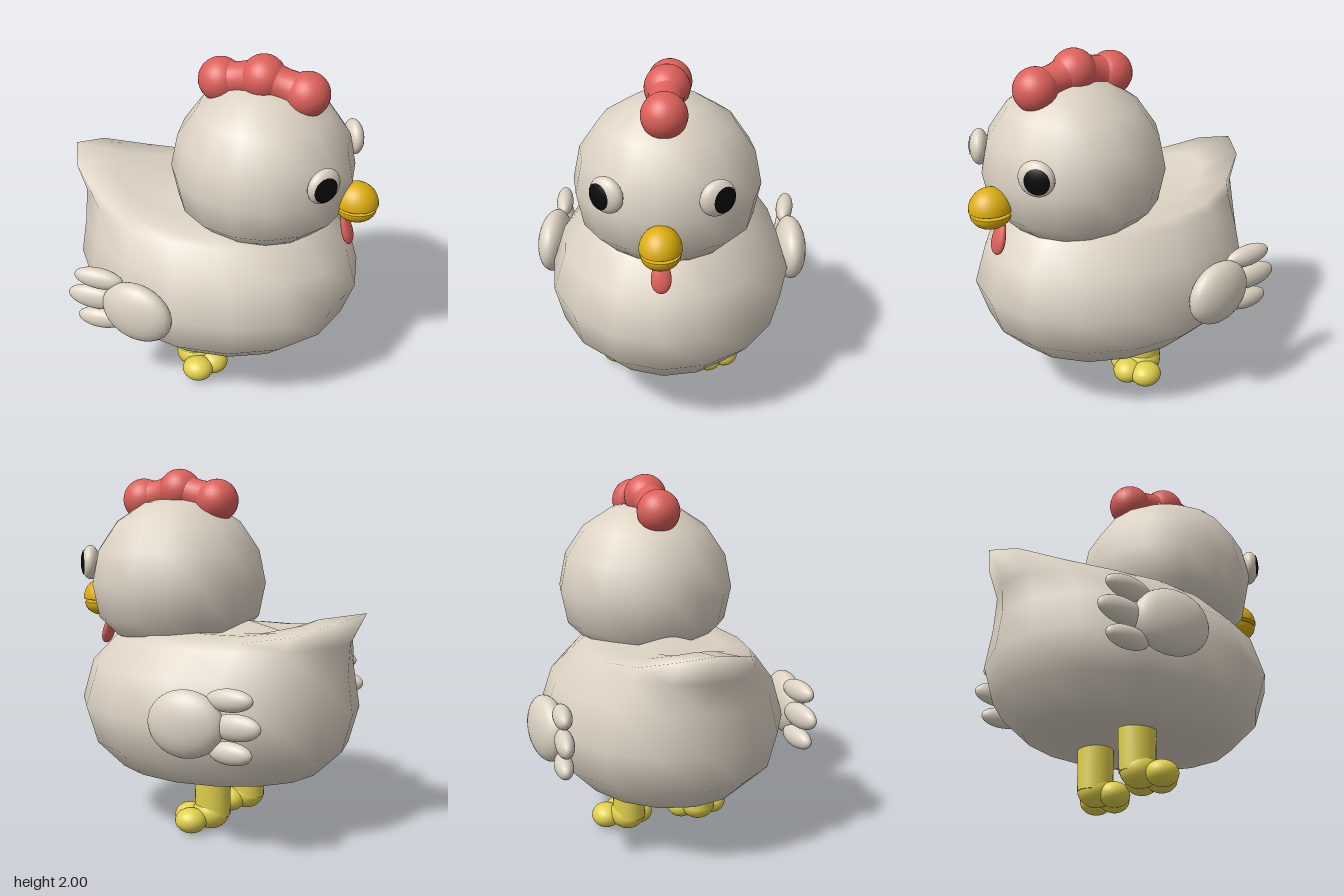
import * as THREE from 'three';
import { mergeVertices } from 'three/addons/utils/BufferGeometryUtils.js';

const mat = (name, color) => {
  const m = new THREE.MeshStandardMaterial({ color });
  m.name = name;
  return m;
};

export function createModel() {
  const plumage = mat('cream plumage', 0xdcd2c3);
  const red = mat('comb red', 0xdc605a);
  const beakYellow = mat('beak gold', 0xdcae0c);
  const legYellow = mat('leg yellow', 0xdfd04c);
  const black = mat('pupil black', 0x0a0a0a);
  const root = new THREE.Group();
  root.name = 'chicken';

  const add = (name, geo, material, parent = root) => {
    const mesh = new THREE.Mesh(geo, material);
    mesh.name = name;
    parent.add(mesh);
    return mesh;
  };
  const ellipsoid = (name, material, pos, size, parent = root) => {
    const mesh = add(name, new THREE.SphereGeometry(1, 28, 18), material, parent);
    mesh.position.set(...pos);
    mesh.scale.set(...size);
    return mesh;
  };
  // Weld a coarse mesh so it shades smoothly
  const weld = (geo) => {
    geo.deleteAttribute('normal');
    geo.deleteAttribute('uv');
    const g = mergeVertices(geo, 1e-4);
    g.computeVertexNormals();
    return g;
  };

  // Body: rings from belly to back [y, xMin, xMax, halfWidth, tail pull, tail lift]
  const rings = [
    [0.34, -0.05, -0.05, 0, 0, 0],
    [0.315, -0.46, 0.42, 0.32, 0, 0],
    [0.33, -0.61, 0.59, 0.48, 0, 0],
    [0.48, -0.77, 0.74, 0.63, 0, 0],
    [0.69, -0.83, 0.81, 0.68, 0, 0],
    [0.91, -0.8, 0.75, 0.61, 0, 0],
    [1.06, -0.79, 0.61, 0.48, 0.02, 0.02],
    [1.1, -0.76, 0.56, 0.44, 0.14, 0.15],
    [1.12, -0.63, 0.42, 0.3, 0, 0.08],
    [1.11, -0.41, 0.25, 0.16, 0, 0],
    [1.18, -0.15, -0.15, 0, 0, 0],
  ];
  const sides = 16, points = [], index = [];
  rings.forEach(([y, x0, x1, w, pull, lift], i) => {
    for (let k = 0; k < sides; k++) {
      const a = (k / sides) * Math.PI * 2;
      const t = Math.max(0, -Math.cos(a)) ** 4;
      points.push((x0 + x1) / 2 + ((x1 - x0) / 2) * Math.cos(a) - pull * t, y + lift * t, w * Math.sin(a));
      if (i === rings.length - 1) continue;
      const p = i * sides + k, q = i * sides + ((k + 1) % sides);
      if (i < rings.length - 2) index.push(p, p + sides, q + sides);
      else index.push(p, p + sides, q);
      if (i > 0 && i < rings.length - 2) index.push(p, q + sides, q);
    }
  });
  const bodyGeo = new THREE.BufferGeometry();
  bodyGeo.setAttribute('position', new THREE.Float32BufferAttribute(points, 3));
  bodyGeo.setIndex(index);
  add('body', weld(bodyGeo), plumage);

  // Head: coarse ball with a flattened underside
  const headGeo = new THREE.SphereGeometry(0.5, 16, 8);
  const hp = headGeo.attributes.position;
  for (let i = 0; i < hp.count; i++) hp.setY(i, Math.max(hp.getY(i) * 0.98, -0.295));
  add('head', weld(headGeo), plumage).position.set(0.25, 1.36, 0);

  // Comb: three balls blended by a lathe along x
  const comb = new THREE.Group();
  comb.name = 'comb';
  root.add(comb);
  const lumps = [[-0.0, 1.825], [0.24, 1.88], [0.48, 1.825]];
  lumps.forEach(([x, y], i) => {
    ellipsoid('combLump', red, [x, y, 0], [0.12, 0.12, 0.12], comb);
    if (i === 2) return;
    const [nx, ny] = lumps[i + 1];
    const profile = [-0.125, -0.08, -0.04, 0, 0.04, 0.08, 0.125].map(
      (t) => new THREE.Vector2(0.088 + 1.6 * t * t, t));
    const link = add('combLink', new THREE.LatheGeometry(profile, 24), red, comb);
    link.position.set((x + nx) / 2, (y + ny) / 2, 0);
    link.rotation.z = Math.atan2(ny - y, nx - x) - Math.PI / 2;
  });

  // Beak: two domes with a slim groove between
  const dome = (name, y, size, flip) => {
    const g = new THREE.SphereGeometry(1, 28, 16);
    const p = g.attributes.position;
    for (let i = 0; i < p.count; i++) if (p.getY(i) < 0) p.setY(i, p.getY(i) * 0.12);
    g.computeVertexNormals();
    const m = add(name, g, beakYellow);
    m.position.set(0.78, y, 0);
    m.scale.set(...size);
    if (flip) m.rotation.x = Math.PI;
  };
  dome('upperBeak', 1.238, [0.12, 0.12, 0.11], false);
  dome('lowerBeak', 1.215, [0.112, 0.08, 0.104], true);

  // Wattle: tapered drop
  const dropGeo = new THREE.SphereGeometry(1, 24, 16);
  const dp = dropGeo.attributes.position;
  for (let i = 0; i < dp.count; i++) {
    const f = 1 - 0.35 * dp.getY(i);
    dp.setX(i, dp.getX(i) * f);
    dp.setZ(i, dp.getZ(i) * f);
  }
  dropGeo.computeVertexNormals();
  const wattle = add('wattle', dropGeo, red);
  wattle.position.set(0.735, 1.07, 0);
  wattle.scale.set(0.026, 0.105, 0.05);
  wattle.rotation.z = 0.28;

  for (const s of [1, -1]) {
    const side = s > 0 ? 'near' : 'far';

    // Eye with a thin pupil cap
    const eye = new THREE.Group();
    eye.name = side + 'Eye';
    eye.position.set(0.67, 1.475, s * 0.275);
    eye.rotation.y = s > 0 ? 1.0 : Math.PI - 1.0;
    root.add(eye);
    ellipsoid('eyeball', plumage, [0, 0, 0], [0.1, 0.097, 0.052], eye);
    const capGeo = new THREE.SphereGeometry(1.03, 28, 10, 0, Math.PI * 2, 0, 0.74);
    capGeo.rotateX(Math.PI / 2);
    capGeo.rotateY(-s * 0.25);
    capGeo.scale(0.1, 0.102, 0.054);
    add('pupil', capGeo, black, eye);

    // Wing with three feathers
    const wing = new THREE.Group();
    wing.name = side + 'Wing';
    root.add(wing);
    ellipsoid('wingPad', plumage, [-0.205, 0.72, s * 0.7], [0.21, 0.178, 0.092], wing).rotation.y = -s * 0.1;
    [[-0.44, 0.86, 0.14, 0.06, -0.06], [-0.475, 0.725, 0.15, 0.07, -0.05], [-0.445, 0.59, 0.13, 0.06, 0.0]]
      .forEach(([x, y, rx, ry, tilt]) => {
        ellipsoid('feather', plumage, [x, y, s * 0.67], [rx, ry, 0.05], wing).rotation.set(0, s * 0.1, tilt);
      });

    // Leg and lumpy three-toed foot
    const leg = new THREE.Group();
    leg.name = side + 'Leg';
    root.add(leg);
    const shank = add('shank', new THREE.CylinderGeometry(0.105, 0.1, 0.36, 28), legYellow, leg);
    shank.position.set(-0.09, 0.27, s * 0.21);
    shank.scale.z = 0.9;
    ellipsoid('heel', legYellow, [-0.08, 0.1, s * 0.215], [0.105, 0.09, 0.1], leg);
    [[0.045, 0.23, 0.085], [-0.015, 0.325, 0.09], [-0.015, 0.135, 0.09]].forEach(([x, z, rx]) =>
      ellipsoid('toe', legYellow, [x, 0.072, s * z], [rx, 0.07, 0.083], leg));
  }
  return root;
}
